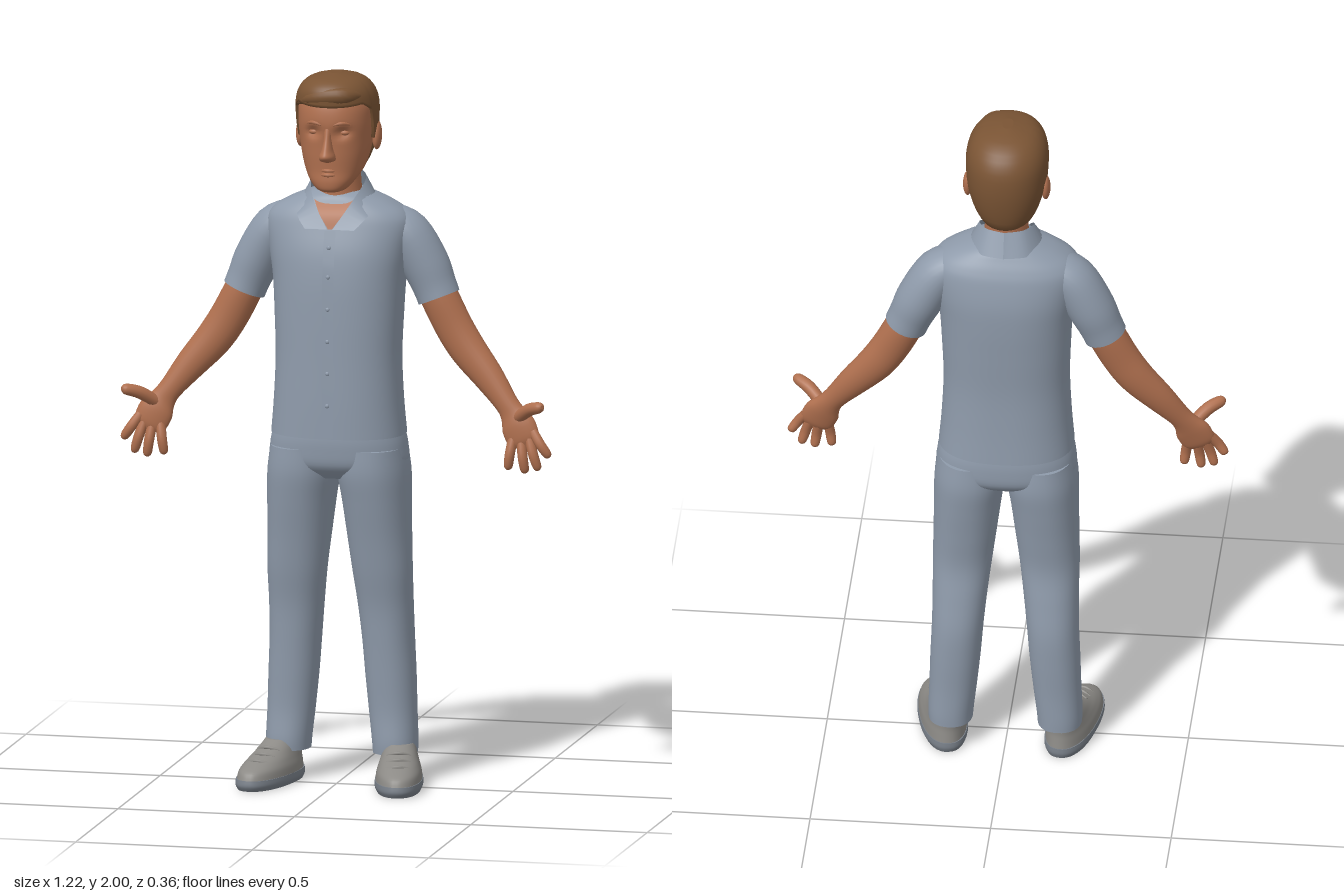
import * as THREE from 'three';

const mat = (name, color, side = THREE.FrontSide) => {
  const m = new THREE.MeshStandardMaterial({ color, side });
  m.name = name;
  return m;
};

// Catmull-Rom interpolation between rows of numbers
function smooth(keys, steps = 5) {
  const out = [], last = keys.length - 1;
  for (let i = 0; i < last; i++) for (let s = 0; s < steps; s++) {
    const t = s / steps, a = keys[Math.max(i - 1, 0)], b = keys[i], c = keys[i + 1], d = keys[Math.min(i + 2, last)];
    out.push(b.map((v, k) => {
      const cubic = 3 * (v - c[k]) + d[k] - a[k], square = 2 * a[k] - 5 * v + 4 * c[k] - d[k];
      return v + 0.5 * t * (c[k] - a[k] + t * (square + t * cubic));
    }));
  }
  out.push(keys[last]);
  return out;
}

// Closed rings of points joined into a smooth skin with flat end caps
function skin(rows) {
  const n = rows[0].length, pos = [], idx = [];
  rows.forEach(r => r.forEach(p => pos.push(p.x, p.y, p.z)));
  for (let i = 0; i < rows.length - 1; i++) for (let j = 0; j < n; j++) {
    const k = (j + 1) % n, a = i * n + j, b = i * n + k;
    idx.push(a, a + n, b, b, a + n, b + n);
  }
  [rows[0], rows[rows.length - 1]].forEach((r, end) => {
    const base = pos.length / 3, c = new THREE.Vector3();
    r.forEach(p => { pos.push(p.x, p.y, p.z); c.addScaledVector(p, 1 / n); });
    pos.push(c.x, c.y, c.z);
    for (let j = 0; j < n; j++) {
      const k = (j + 1) % n;
      idx.push(base + n, base + (end ? k : j), base + (end ? j : k));
    }
  });
  return geometry(pos, idx);
}

function geometry(pos, idx) {
  const g = new THREE.BufferGeometry();
  g.setAttribute('position', new THREE.Float32BufferAttribute(pos, 3));
  g.setIndex(idx);
  g.computeVertexNormals();
  return g;
}

// Point on a horizontal ring [y, centreX, halfWidth, zFront, zBack]
function ringPoint([y, cx, rx, zf, zb], a, power = 2) {
  const f = v => Math.sign(v) * Math.pow(Math.abs(v), 2 / power);
  return new THREE.Vector3(cx + rx * f(Math.cos(a)), y, (zf + zb) / 2 + (zf - zb) / 2 * f(Math.sin(a)));
}

const ringRows = (keys, power, n = 40, steps = 5) => smooth(keys, steps).map(k =>
  Array.from({ length: n }, (_, j) => ringPoint(k, j / n * Math.PI * 2, power)));
const loft = (keys, power, n) => skin(ringRows(keys, power, n));

// Tapered limb through [x, y, z, radius across, radius in depth]
function limb(keys, n = 20) {
  const path = smooth(keys, 4), at = i => new THREE.Vector3(...path[Math.min(Math.max(i, 0), path.length - 1)].slice(0, 3));
  return skin(path.map((p, i) => {
    const T = at(i + 1).sub(at(i - 1)).normalize();
    const U = T.clone().cross(new THREE.Vector3(0, 0, 1)).normalize(), V = U.clone().cross(T);
    return Array.from({ length: n }, (_, j) => {
      const a = j / n * Math.PI * 2;
      return at(i).addScaledVector(U, p[3] * Math.cos(a)).addScaledVector(V, p[4] * Math.sin(a));
    });
  }));
}

// Open strip between two edge curves
function ribbon(edgeA, edgeB) {
  const A = smooth(edgeA), B = smooth(edgeB), pos = [], idx = [];
  A.forEach((p, i) => {
    pos.push(...p, ...B[i]);
    if (i) idx.push(2 * i - 2, 2 * i - 1, 2 * i, 2 * i, 2 * i - 1, 2 * i + 1);
  });
  return geometry(pos, idx);
}

function mirrored(g) {
  const m = g.clone().scale(-1, 1, 1), ix = m.index.array;
  for (let i = 0; i < ix.length; i += 3) [ix[i], ix[i + 1]] = [ix[i + 1], ix[i]];
  return m;
}

export function createModel() {
  const root = new THREE.Group();
  const skinTone = mat('skin', 0xb0704f, THREE.DoubleSide), hairBrown = mat('hair brown', 0x7a5434, THREE.DoubleSide);
  const cloth = mat('blue grey cloth', 0x8f9bab, THREE.DoubleSide);
  const shoeGrey = mat('shoe grey', 0x8c8a86), soleGrey = mat('sole grey', 0x787f88);
  const add = (name, g, m) => {
    const mesh = new THREE.Mesh(g, m);
    mesh.name = name;
    root.add(mesh);
  };
  const pair = (name, g, m) => { add(name + 'Left', g, m); add(name + 'Right', mirrored(g), m); };

  // Shirt body
  add('shirt', loft([
    [0.985, 0, 0.187, 0.108, -0.172], [1.08, 0, 0.179, 0.108, -0.167], [1.2, 0, 0.174, 0.106, -0.165],
    [1.32, 0, 0.178, 0.104, -0.172], [1.42, 0, 0.184, 0.1, -0.178], [1.5, 0, 0.196, 0.09, -0.178],
    [1.57, 0, 0.205, 0.07, -0.166], [1.605, 0, 0.19, 0.058, -0.153], [1.632, 0, 0.15, 0.045, -0.138],
    [1.652, 0, 0.105, 0.035, -0.125], [1.665, 0, 0.07, 0.02, -0.105]], 2.4, 56), cloth);
  pair('sleeve', limb([
    [0.13, 1.585, -0.06, 0.045, 0.06], [0.185, 1.545, -0.062, 0.063, 0.072], [0.235, 1.46, -0.066, 0.066, 0.07],
    [0.262, 1.4, -0.064, 0.061, 0.062], [0.276, 1.366, -0.062, 0.06, 0.06]], 28), cloth);

  // Button placket
  const front = x => [[x, 0.99, 0.112], [x, 1.2, 0.11], [x, 1.42, 0.104], [x, 1.5, 0.094], [x, 1.565, 0.077]];
  add('placket', ribbon(front(-0.016), front(0.016)), cloth);
  for (const [y, z] of [[1.08, 0.113], [1.17, 0.112], [1.26, 0.111], [1.35, 0.109], [1.44, 0.104], [1.52, 0.092]])
    add('button', new THREE.SphereGeometry(0.006, 10, 6).scale(1, 1, 0.5).translate(0, y, z), cloth);

  // Collar and the open neck between its points
  const inner = [[0, 1.712, -0.108], [0.05, 1.71, -0.088], [0.076, 1.695, -0.03], [0.057, 1.648, 0.04], [0.008, 1.57, 0.083]];
  const outer = [[0, 1.645, -0.138], [0.07, 1.645, -0.118], [0.108, 1.637, -0.04], [0.1, 1.605, 0.05], [0.07, 1.57, 0.086]];
  pair('collar', ribbon(inner, outer), cloth);
  const vEdge = s => [[s * 0.055, 1.645, 0.034], [s * 0.034, 1.61, 0.064], [s * 0.006, 1.57, 0.079]];
  add('openNeck', ribbon(vEdge(-1), vEdge(1)), skinTone);

  // Trousers
  add('hips', loft([
    [0.865, 0, 0.12, 0.05, -0.12], [0.9, 0, 0.188, 0.09, -0.16], [0.95, 0, 0.191, 0.1, -0.167],
    [1.0, 0, 0.18, 0.1, -0.162], [1.04, 0, 0.165, 0.09, -0.15]], 2.4, 48), cloth);
  // y, inner x, outer x, front z, back z
  const leg = [
    [0.085, 0.09, 0.212, 0.002, -0.138], [0.12, 0.087, 0.213, 0.004, -0.14], [0.2, 0.078, 0.21, 0, -0.142],
    [0.3, 0.068, 0.207, 0.005, -0.148], [0.4, 0.06, 0.203, 0.012, -0.15], [0.5, 0.05, 0.202, 0.022, -0.139],
    [0.6, 0.038, 0.203, 0.042, -0.128], [0.7, 0.025, 0.201, 0.06, -0.139], [0.8, 0.012, 0.2, 0.08, -0.154],
    [0.88, 0, 0.198, 0.094, -0.164], [0.95, 0.005, 0.188, 0.095, -0.16]];
  pair('trouserLeg', loft(leg.map(([y, a, b, f, k]) => [y, (a + b) / 2, (b - a) / 2, f, k]), 2.2, 36), cloth);

  // Shoes, toes turned slightly outward
  const place = g => g.rotateY(0.2).translate(0.182, 0, 0.021);
  pair('sole', place(loft([[0, 0, 0.061, 0.158, -0.156], [0.014, 0, 0.067, 0.166, -0.161], [0.03, 0, 0.066, 0.164, -0.16]], 2.3, 40)), soleGrey);
  pair('shoe', place(loft([
    [0.028, 0, 0.065, 0.162, -0.158], [0.05, 0, 0.062, 0.15, -0.155], [0.068, 0, 0.056, 0.112, -0.153],
    [0.085, 0, 0.05, 0.06, -0.153], [0.102, 0, 0.045, 0.015, -0.152], [0.116, 0, 0.04, -0.015, -0.148]], 2.2, 40)), shoeGrey);
  for (const [y, z] of [[0.075, 0.094], [0.088, 0.057], [0.101, 0.024]])
    pair('lace', place(limb([[-0.032, y - 0.008, z - 0.014, 0.005, 0.005], [0, y, z, 0.005, 0.005], [0.032, y - 0.008, z - 0.014, 0.005, 0.005]], 8)), shoeGrey);

  // Bare arms running into the palms
  pair('arm', limb([
    [0.24, 1.44, -0.065, 0.05, 0.05], [0.278, 1.365, -0.062, 0.053, 0.05], [0.32, 1.285, -0.058, 0.053, 0.043],
    [0.362, 1.222, -0.053, 0.051, 0.04], [0.422, 1.152, -0.041, 0.043, 0.034], [0.475, 1.085, -0.025, 0.033, 0.026],
    [0.496, 1.055, -0.018, 0.037, 0.023], [0.513, 1.025, -0.01, 0.049, 0.022], [0.529, 0.99, -0.004, 0.047, 0.017],
    [0.536, 0.974, -0.002, 0.034, 0.01]], 24), skinTone);
  const digit = (name, pts, r) => pair(name, limb(pts.map((p, i) => {
    const s = r * [1, 1.05, 0.9, 0.35][i];
    return [...p, s, s];
  }), 12), skinTone);
  for (const [name, bx, by, tx, ty] of [['indexFinger', 0.556, 1.012, 0.604, 0.944], ['middleFinger', 0.545, 0.995, 0.573, 0.906],
    ['ringFinger', 0.523, 0.985, 0.536, 0.897], ['littleFinger', 0.499, 0.99, 0.487, 0.905]])
    digit(name, [0, 0.5, 0.9, 1].map(t => [bx + (tx - bx) * t, by + (ty - by) * t, -0.003 + 0.012 * Math.sin(t * 2.6)]), 0.0135);
  digit('thumb', [[0.515, 1.05, -0.006], [0.552, 1.078, 0.025], [0.586, 1.09, 0.048], [0.596, 1.092, 0.055]], 0.017);

  // Neck and head, with shallow eye sockets pressed in
  add('neck', loft([[1.56, 0, 0.075, 0.045, -0.1], [1.64, 0, 0.066, 0.032, -0.1], [1.7, 0, 0.06, 0.03, -0.098], [1.78, 0, 0.06, 0.03, -0.1]], 2, 32), skinTone);
  const headRows = ringRows([
    [1.676, 0, 0.026, 0.09, 0.03], [1.684, 0, 0.043, 0.102, 0.01], [1.705, 0, 0.062, 0.106, -0.02],
    [1.735, 0, 0.08, 0.104, -0.07], [1.775, 0, 0.092, 0.106, -0.1], [1.82, 0, 0.1, 0.108, -0.12],
    [1.87, 0, 0.104, 0.115, -0.132], [1.92, 0, 0.102, 0.108, -0.13], [1.96, 0, 0.08, 0.085, -0.1], [1.982, 0, 0.035, 0.04, -0.05]], 2.25, 64, 6);
  for (const p of headRows.flat()) if (p.z > 0.03)
    p.z -= 0.016 * Math.exp(-(((Math.abs(p.x) - 0.042) / 0.02) ** 2) - ((p.y - 1.846) / 0.015) ** 2);
  add('head', skin(headRows), skinTone);
  add('nose', loft([[1.764, 0, 0.012, 0.118, 0.07], [1.77, 0, 0.022, 0.136, 0.07], [1.782, 0, 0.022, 0.147, 0.07],
    [1.8, 0, 0.016, 0.139, 0.07], [1.83, 0, 0.012, 0.124, 0.07], [1.862, 0, 0.014, 0.113, 0.07]], 2, 20), skinTone);
  const ball = (x, y, z, sx, sy, sz, tilt = 0) => new THREE.SphereGeometry(1, 20, 14).scale(sx, sy, sz).rotateX(tilt).translate(x, y, z);
  pair('ear', ball(0.108, 1.82, -0.03, 0.013, 0.04, 0.024, -0.15), skinTone);
  pair('eyelid', ball(0.042, 1.845, 0.083, 0.017, 0.009, 0.013), skinTone);
  pair('brow', limb([[0.016, 1.868, 0.111, 0.003, 0.003], [0.042, 1.874, 0.104, 0.006, 0.006], [0.072, 1.866, 0.082, 0.003, 0.003]], 10), skinTone);
  for (const [name, y, r] of [['upperLip', 1.739, 0.005], ['lowerLip', 1.727, 0.006]])
    add(name, limb([[-0.034, y - 0.001, 0.09, 0.002, 0.002], [0, y, 0.105, r, r], [0.034, y - 0.001, 0.09, 0.002, 0.002]], 10), skinTone);

  // Hair cap whose lower edge follows the hairline around forehead, ears and nape
  const shape = smooth([
    [1.71, 0, 0.066, 0.1, -0.11], [1.76, 0, 0.092, 0.108, -0.13], [1.82, 0, 0.108, 0.112, -0.143],
    [1.87, 0, 0.113, 0.117, -0.147], [1.92, 0, 0.113, 0.122, -0.142], [1.96, 0, 0.1, 0.12, -0.12],
    [1.987, 0, 0.07, 0.09, -0.08], [2, 0, 0.015, 0.03, -0.02]], 6);
  const table = (t, v) => {
    const i = Math.max(1, t.findIndex(r => r[0] >= v)), a = t[i - 1], b = t[i], k = (v - a[0]) / (b[0] - a[0]);
    return a.map((x, j) => x + (b[j] - x) * k);
  };
  const hairline = [[-1.01, 1.725], [-0.5, 1.735], [-0.32, 1.8], [-0.22, 1.855], [0, 1.855], [0.04, 1.815], [0.2, 1.82], [0.27, 1.9], [0.6, 1.925], [1.01, 1.918]];
  const hairRows = Array.from({ length: 18 }, (_, i) => Array.from({ length: 80 }, (_, j) => {
    const a = j / 80 * Math.PI * 2, low = table(hairline, Math.sin(a))[1];
    const y = Math.min(1.9999, low + (2 - low) * Math.sin(Math.max(0, i - 1) / 16 * Math.PI / 2));
    const p = ringPoint(table(shape, y), a, 2.15);
    if (i === 0) p.set(p.x * 0.86, p.y + 0.003, p.z * 0.86);
    return p;
  }));
  add('hair', skin(hairRows), hairBrown);
  add('quiff', limb([[0.085, 1.945, 0.055, 0.008, 0.01], [0.05, 1.95, 0.097, 0.022, 0.02], [0, 1.947, 0.108, 0.022, 0.018],
    [-0.05, 1.938, 0.094, 0.018, 0.018], [-0.092, 1.92, 0.05, 0.006, 0.01]], 16), hairBrown);

  return root;
}
